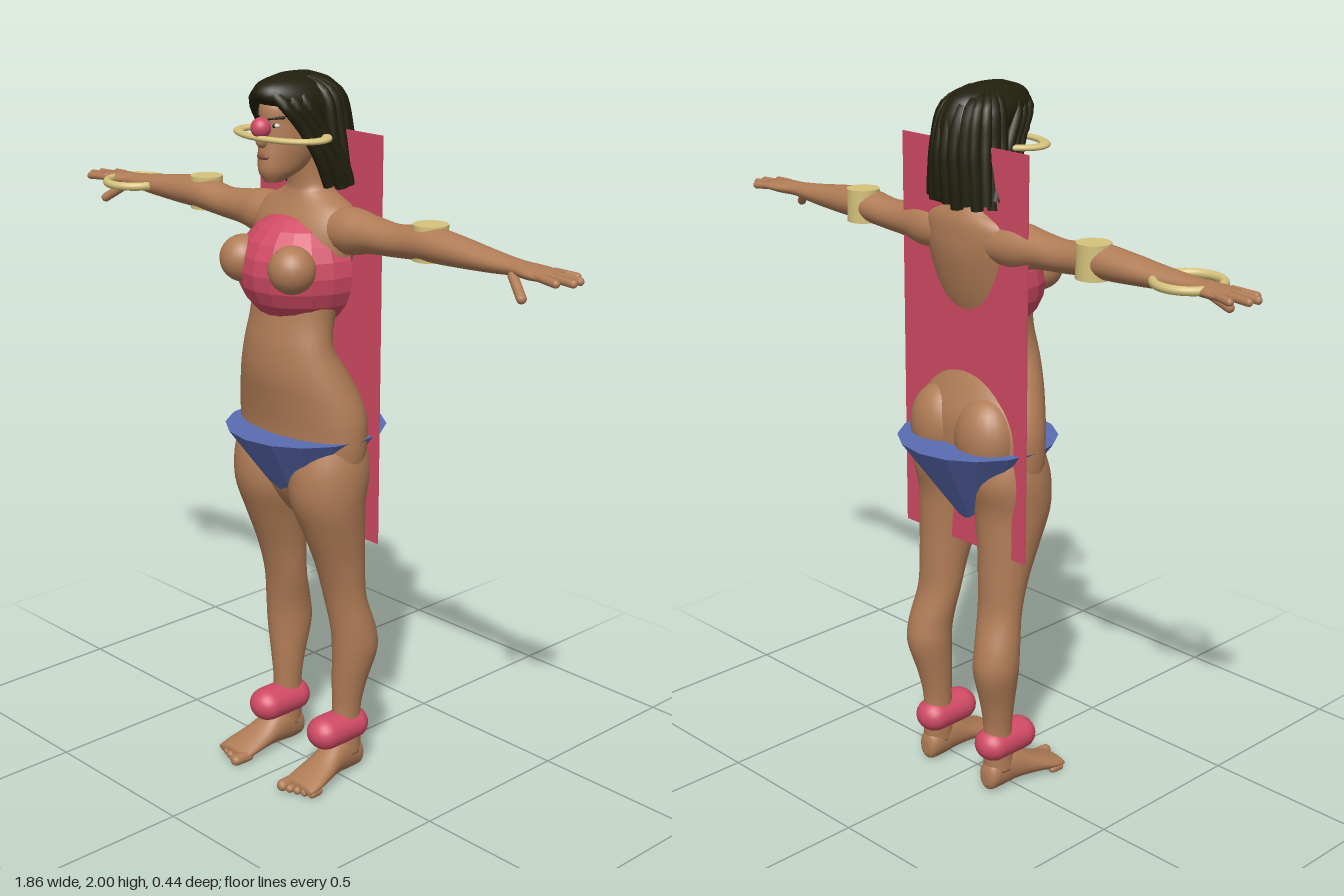
import * as THREE from 'three';

const paint = (name, color, extra = {}) => Object.assign(new THREE.MeshStandardMaterial({ color, ...extra }), { name });

// Smooth body through sections [t, a0, a1, b0, b1]; axis says which way t runs.
function loft(axis, secs, sides = 28, steps = 5) {
  const pos = [], idx = [], rows = [];
  const at = (i) => secs[Math.min(Math.max(i, 0), secs.length - 1)];
  for (let i = 0; i < secs.length - 1; i++) {
    for (let k = 0; k < steps; k++) {
      const u = k / steps;
      rows.push(at(i).map((p1, c) => {
        const p0 = at(i - 1)[c], p2 = at(i + 1)[c], p3 = at(i + 2)[c];
        return p1 + 0.5 * u * (p2 - p0 + u * (2 * p0 - 5 * p1 + 4 * p2 - p3 + u * (3 * (p1 - p2) + p3 - p0)));
      }));
    }
  }
  rows.push(at(secs.length - 1));
  const put = (t, a, b) => pos.push(...(axis === 'y' ? [a, t, b] : axis === 'x' ? [t, b, a] : [b, a, t]));
  rows.forEach(([t, a0, a1, b0, b1]) => {
    for (let j = 0; j < sides; j++) {
      const w = (j / sides) * Math.PI * 2;
      put(t, (a0 + a1) / 2 + Math.cos(w) * (a1 - a0) / 2, (b0 + b1) / 2 + Math.sin(w) * (b1 - b0) / 2);
    }
  });
  const n = rows.length;
  [rows[0], rows[n - 1]].forEach(([t, a0, a1, b0, b1]) => put(t, (a0 + a1) / 2, (b0 + b1) / 2));
  for (let j = 0; j < sides; j++) {
    const k = (j + 1) % sides;
    for (let i = 0; i < n - 1; i++) {
      const p = i * sides + j, q = i * sides + k;
      idx.push(p, p + sides, q, q, p + sides, q + sides);
    }
    idx.push(n * sides, j, k, n * sides + 1, (n - 1) * sides + k, (n - 1) * sides + j);
  }
  const g = new THREE.BufferGeometry();
  g.setAttribute('position', new THREE.Float32BufferAttribute(pos, 3));
  g.setIndex(idx);
  g.computeVertexNormals();
  return g;
}

function mirrored(geo) {
  const g = geo.clone().scale(-1, 1, 1), ix = g.index.array;
  for (let i = 0; i < ix.length; i += 3) [ix[i], ix[i + 1]] = [ix[i + 1], ix[i]];
  return g;
}

const ball = (x, y, z, rx, ry = rx, rz = rx) => new THREE.SphereGeometry(1, 24, 16).scale(rx, ry, rz).translate(x, y, z);

// Round-ended rod between two points
function rod(p, q, r) {
  const a = new THREE.Vector3(...p), b = new THREE.Vector3(...q), d = b.clone().sub(a);
  const turn = new THREE.Quaternion().setFromUnitVectors(new THREE.Vector3(0, 1, 0), d.clone().normalize());
  const m = a.add(b).multiplyScalar(0.5);
  return new THREE.CapsuleGeometry(r, d.length(), 5, 10).applyQuaternion(turn).translate(m.x, m.y, m.z);
}

const lock = (pts, r) => new THREE.TubeGeometry(new THREE.CatmullRomCurve3(pts.map((p) => new THREE.Vector3(...p))), 16, r, 8);

export function createModel() {
  const model = new THREE.Group();
  const skin = paint('skin', 0xb07c56), hair = paint('hair', 0x211f0c), gold = paint('gold', 0xd6c27c);
  const pink = paint('pink', 0xd04a64), white = paint('eyeWhite', 0xd8d0c4), lips = paint('lips', 0x8e5444);
  const pinkFlat = paint('pinkFaceted', 0xd04a64, { flatShading: true, side: THREE.DoubleSide });
  const blue = paint('blue', 0x5a6cb2, { flatShading: true });
  const add = (name, geo, mat) => {
    const m = new THREE.Mesh(geo, mat);
    m.name = name;
    model.add(m);
  };
  const pair = (name, geo, mat) => {
    add('left' + name, geo, mat);
    add('right' + name, mirrored(geo), mat);
  };

  // Torso and neck
  add('torso', loft('y', [
    [0.79, -0.05, 0.05, -0.04, 0.05], [0.86, -0.15, 0.15, -0.075, 0.095], [0.95, -0.212, 0.212, -0.1, 0.125],
    [1.05, -0.222, 0.222, -0.11, 0.13], [1.12, -0.21, 0.21, -0.105, 0.14], [1.2, -0.18, 0.18, -0.07, 0.153],
    [1.28, -0.15, 0.15, -0.025, 0.15], [1.36, -0.14, 0.14, -0.038, 0.135], [1.45, -0.155, 0.155, -0.068, 0.12],
    [1.55, -0.17, 0.17, -0.09, 0.105], [1.61, -0.175, 0.175, -0.092, 0.085], [1.65, -0.15, 0.15, -0.088, 0.062],
    [1.68, -0.09, 0.09, -0.075, 0.048], [1.71, -0.058, 0.058, -0.06, 0.044], [1.8, -0.052, 0.052, -0.05, 0.06],
  ], 36), skin);
  pair('Breast', ball(0.096, 1.505, 0.138, 0.064), skin);
  pair('Buttock', ball(0.088, 1.06, -0.055, 0.095, 0.115, 0.077), skin);

  // Legs and feet
  pair('Leg', loft('y', [
    [0.06, 0.088, 0.165, -0.085, 0.01], [0.12, 0.087, 0.163, -0.088, 0.005], [0.2, 0.085, 0.165, -0.085, 0],
    [0.28, 0.08, 0.178, -0.1, 0.002], [0.38, 0.073, 0.2, -0.128, 0.004], [0.45, 0.07, 0.2, -0.12, 0.008],
    [0.55, 0.055, 0.19, -0.09, 0.022], [0.65, 0.045, 0.194, -0.085, 0.05], [0.75, 0.028, 0.206, -0.082, 0.09],
    [0.85, 0.005, 0.219, -0.082, 0.128], [0.94, 0.008, 0.222, -0.1, 0.128], [1.02, 0.03, 0.21, -0.08, 0.1],
  ]), skin);
  pair('Foot', loft('z', [
    [-0.092, 0.02, 0.06, 0.11, 0.14], [-0.08, 0.004, 0.09, 0.094, 0.157], [-0.04, 0.002, 0.115, 0.088, 0.163],
    [0.01, 0.006, 0.11, 0.086, 0.17], [0.07, 0.008, 0.075, 0.082, 0.186], [0.13, 0.004, 0.048, 0.081, 0.198],
    [0.165, 0.006, 0.034, 0.086, 0.196],
  ]), skin);
  for (let i = 0; i < 5; i++) {
    const x = 0.098 + i * 0.022, r = i ? 0.012 : 0.017;
    pair('Toe' + (i + 1), rod([x, r, 0.14 - i * 0.004], [x + 0.002, r, 0.182 - i * 0.008], r), skin);
  }

  // Arms and hands
  pair('Arm', loft('x', [
    [0.08, -0.075, 0.05, 1.54, 1.65], [0.17, -0.075, 0.055, 1.535, 1.66], [0.24, -0.065, 0.045, 1.55, 1.65],
    [0.33, -0.06, 0.04, 1.557, 1.642], [0.43, -0.062, 0.042, 1.565, 1.656], [0.52, -0.058, 0.04, 1.568, 1.65],
    [0.65, -0.046, 0.035, 1.576, 1.633], [0.74, -0.035, 0.03, 1.584, 1.624], [0.8, -0.048, 0.044, 1.585, 1.62],
    [0.86, -0.05, 0.044, 1.59, 1.614],
  ], 24), skin);
  [0.885, 0.918, 0.922, 0.895].forEach((x, i) =>
    pair('Finger' + (i + 1), rod([0.83, 1.604, -0.036 + i * 0.023], [x, 1.6, -0.048 + i * 0.03], 0.0105), skin));
  pair('Thumb', rod([0.75, 1.59, 0.025], [0.805, 1.55, 0.056], 0.013), skin);

  // Head and face
  add('head', loft('y', [
    [1.722, -0.022, 0.022, 0.09, 0.14], [1.75, -0.046, 0.046, 0.02, 0.156], [1.79, -0.06, 0.06, -0.03, 0.155],
    [1.83, -0.068, 0.068, -0.06, 0.15], [1.87, -0.071, 0.071, -0.08, 0.148], [1.92, -0.068, 0.068, -0.08, 0.146],
    [1.96, -0.05, 0.05, -0.05, 0.11],
  ]), skin);
  add('nose', ball(0, 1.832, 0.152, 0.014, 0.02, 0.02), skin);
  add('mouth', ball(0, 1.79, 0.15, 0.022, 0.009, 0.009), lips);
  pair('Eye', ball(0.032, 1.872, 0.135, 0.014, 0.006, 0.008), white);
  pair('Pupil', ball(0.032, 1.872, 0.14, 0.005, 0.006, 0.005), hair);
  pair('Eyebrow', rod([0.016, 1.888, 0.143], [0.05, 1.893, 0.122], 0.004), hair);
  add('noseBall', ball(0, 1.865, 0.157, 0.027), pink);

  // Hair mass with hanging locks
  add('hair', loft('y', [
    [1.7, -0.085, 0.085, -0.118, -0.055], [1.75, -0.095, 0.095, -0.122, -0.01], [1.8, -0.1, 0.1, -0.122, 0.025],
    [1.86, -0.096, 0.096, -0.122, 0.055], [1.905, -0.093, 0.093, -0.118, 0.115], [1.94, -0.086, 0.086, -0.105, 0.168],
    [1.975, -0.062, 0.062, -0.075, 0.155], [1.997, -0.02, 0.02, -0.01, 0.09],
  ]), hair);
  for (let i = -6; i <= 6; i++) {
    const s = Math.sin(i * 0.29), c = Math.cos(i * 0.29), end = 1.7 + (i % 2) * 0.012;
    add('hairLock', lock([[s * 0.03, 1.978, 0.02 - c * 0.03], [s * 0.08, 1.94, -0.01 - c * 0.075],
      [s * 0.095, 1.85, -0.02 - c * 0.095], [s * 0.104, 1.77, -0.03 - c * 0.085], [s * 0.11, end, -0.04 - c * 0.068]], 0.017), hair);
  }
  for (let i = 0; i < 3; i++) {
    pair('SideLock' + (i + 1), lock([[0.008 + i * 0.015, 1.965, 0.14 - i * 0.03], [0.055 + i * 0.01, 1.93, 0.13 - i * 0.03],
      [0.08 + i * 0.006, 1.86, 0.08 - i * 0.025], [0.098 + i * 0.006, 1.78, 0.04 - i * 0.03],
      [0.1 + i * 0.01, 1.71, 0.01 - i * 0.03]], 0.016), hair);
  }

  // Faceted pink chest shell and flat back panel
  add('chestShell', new THREE.SphereGeometry(1, 10, 12, 0, Math.PI).scale(0.18, 0.162, 0.19).translate(0, 1.48, 0), pinkFlat);
  add('backPanel', new THREE.BoxGeometry(0.47, 1.12, 0.004).translate(0, 1.29, -0.05), pinkFlat);

  // Inverted cone brief
  add('brief', new THREE.ConeGeometry(0.222, 0.305, 16).rotateX(Math.PI).translate(0, 0.8825, 0), blue);

  // Gold and pink rings
  add('faceRing', new THREE.TorusGeometry(0.142, 0.018, 12, 48).rotateX(Math.PI / 2).scale(1, 0.45, 0.6).translate(0, 1.84, 0.083), gold);
  add('wristRing', new THREE.TorusGeometry(0.086, 0.012, 12, 40).rotateX(Math.PI / 2).translate(-0.715, 1.605, 0.01), gold);
  pair('Armlet', new THREE.CylinderGeometry(0.046, 0.046, 0.092, 24).translate(0.435, 1.612, -0.022), gold);
  pair('Anklet', new THREE.CapsuleGeometry(0.05, 0.1, 8, 20).rotateX(Math.PI / 2).scale(1.08, 0.96, 1).translate(0.123, 0.142, -0.01), pink);
  return model;
}
